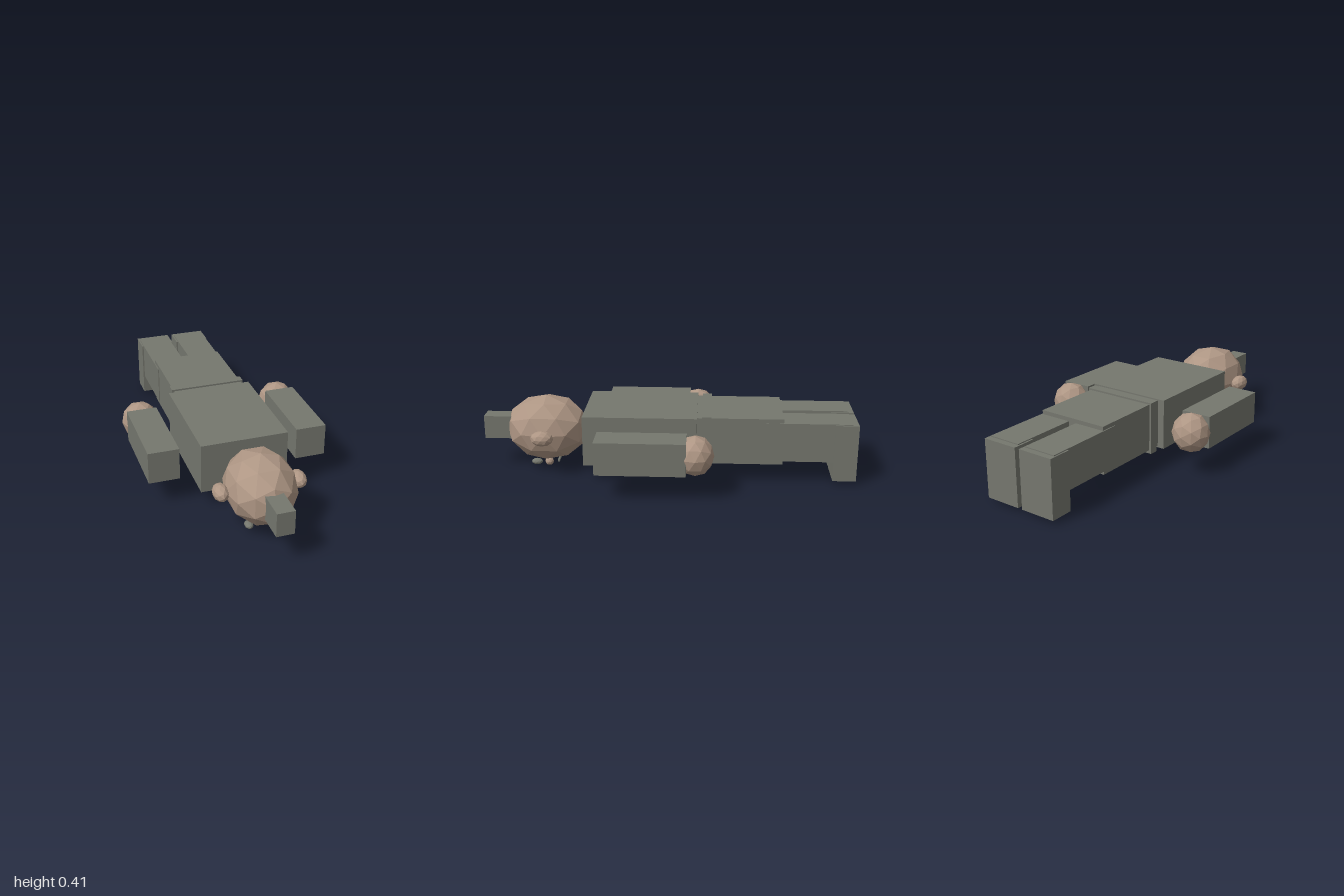
import * as THREE from 'three';

export function createModel() {
  const group = new THREE.Group();
  const cloth = new THREE.MeshStandardMaterial({ color: 0x75776e, flatShading: true });
  cloth.name = 'clothGrey';
  const skin = new THREE.MeshStandardMaterial({ color: 0xae9684, flatShading: true });
  skin.name = 'skin';

  // Box given by its min and max along each axis
  function box(name, [x0, x1], [y0, y1], [z0, z1]) {
    const mesh = new THREE.Mesh(new THREE.BoxGeometry(x1 - x0, y1 - y0, z1 - z0), cloth);
    mesh.position.set((x0 + x1) / 2, (y0 + y1) / 2, (z0 + z1) / 2);
    mesh.name = name;
    group.add(mesh);
  }

  // Faceted ellipsoid given by its centre and radii
  function ball(name, centre, radii, material) {
    const mesh = new THREE.Mesh(new THREE.IcosahedronGeometry(1, 1), material);
    mesh.position.set(...centre);
    mesh.scale.set(...radii);
    mesh.name = name;
    group.add(mesh);
  }

  // Figure lying face down, head towards +z
  box('torso', [-0.23, 0.23], [0.095, 0.363], [-0.16, 0.438]);
  box('hips', [-0.193, 0.193], [0.105, 0.356], [-0.612, -0.15]);
  box('belt', [-0.205, 0.205], [0.086, 0.365], [-0.236, -0.186]);

  // Head, cap block and face
  ball('head', [0, 0.229, 0.66], [0.18, 0.182, 0.225], skin);
  box('capBlock', [-0.046, 0.046], [0.171, 0.297], [0.8, 1]);
  ball('nose', [0, 0.025, 0.66], [0.021, 0.024, 0.024], skin);
  box('mouth', [-0.036, 0.036], [0.036, 0.047], [0.597, 0.607]);

  // Mirrored parts
  for (const [side, s] of [['left', 1], ['right', -1]]) {
    const span = (a, b) => (s > 0 ? [a, b] : [-b, -a]);
    ball(side + 'Ear', [s * 0.2, 0.229, 0.658], [0.04, 0.042, 0.061], skin);
    ball(side + 'Eye', [s * 0.073, 0.051, 0.713], [0.022, 0.017, 0.031], cloth);
    box(side + 'Arm', span(0.315, 0.478), [0.142, 0.315], [-0.112, 0.35]);
    ball(side + 'Hand', [s * 0.397, 0.228, -0.157], [0.1, 0.105, 0.096], skin);
    box(side + 'Leg', span(0.022, 0.198), [0.125, 0.335], [-0.968, -0.52]);
    box(side + 'Foot', span(0.013, 0.206), [0.022, 0.33], [-1, -0.877]);
  }
  return group;
}
